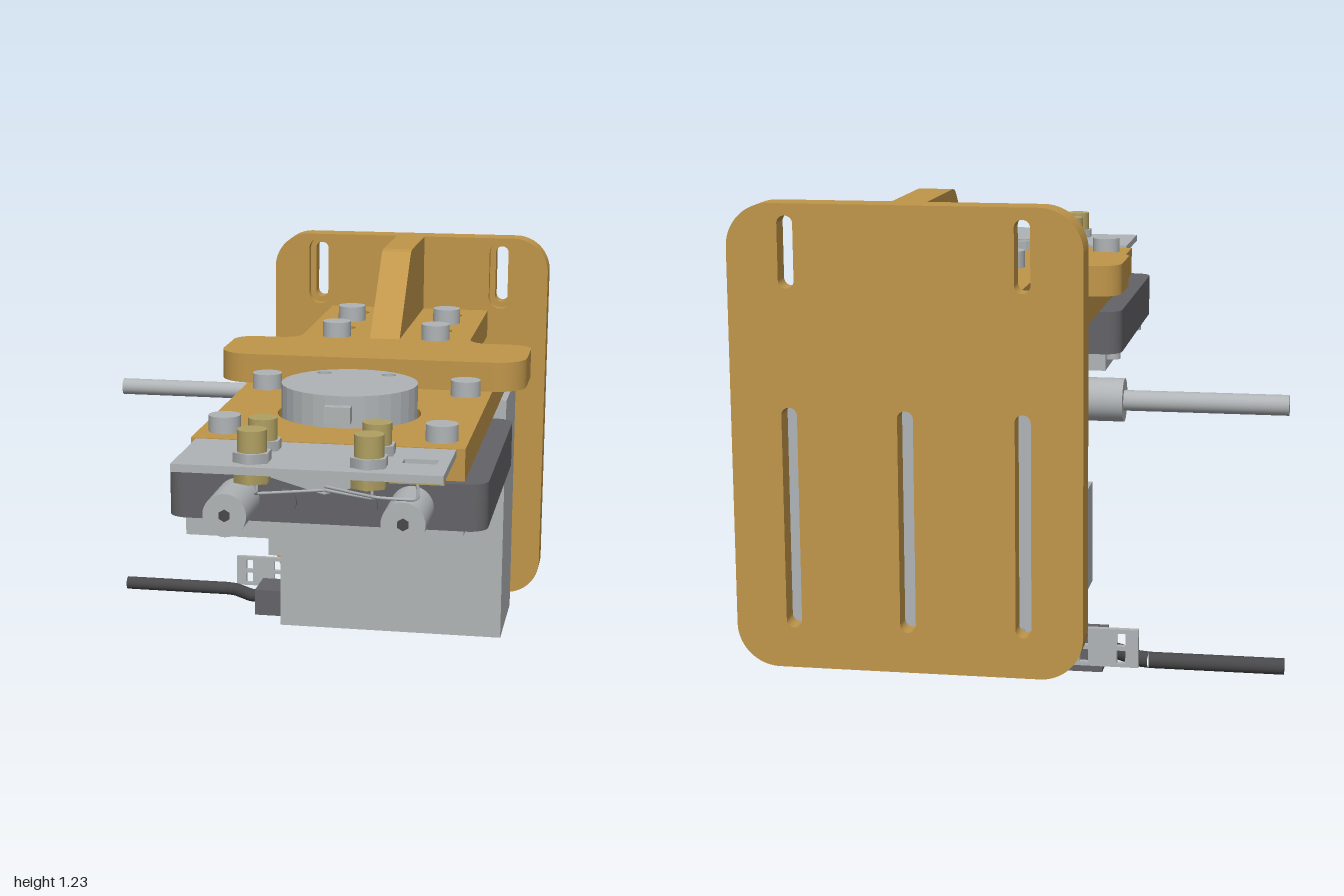
import * as THREE from 'three';

const mat = (name, color) => {
  const m = new THREE.MeshStandardMaterial({ color });
  m.name = name;
  return m;
};

export function createModel() {
  const orange = mat('ochre print', 0xc0964a);
  const grey = mat('light grey metal', 0xb0b4b6);
  const dark = mat('dark grey housing', 0x646468);
  const black = mat('black rubber', 0x48484a);
  const brass = mat('brass', 0xb0a062);
  const green = mat('circuit green', 0x2f7a50);

  const root = new THREE.Group();
  const CX = 0.245;
  const add = (name, geo, m) => {
    const mesh = new THREE.Mesh(geo, m);
    mesh.name = name;
    root.add(mesh);
    return mesh;
  };
  // box from its limits
  const box = (name, m, x0, x1, y0, y1, z0, z1) =>
    add(name, new THREE.BoxGeometry(x1 - x0, y1 - y0, z1 - z0)
      .translate((x0 + x1) / 2, (y0 + y1) / 2, (z0 + z1) / 2), m);
  // cylinder along an axis, starting at the given low end
  const rod = (name, m, axis, r, len, x, y, z, sides = 32) => {
    const g = new THREE.CylinderGeometry(r, r, len, sides).translate(0, len / 2, 0);
    if (axis === 'x') g.rotateZ(-Math.PI / 2);
    if (axis === 'z') g.rotateX(Math.PI / 2);
    return add(name, g.translate(x, y, z), m);
  };
  const tube = (name, m, r, pts) =>
    add(name, new THREE.TubeGeometry(new THREE.CatmullRomCurve3(
      pts.map(p => new THREE.Vector3(...p)), false, 'catmullrom', 0.2), 40, r, 14), m);
  const extrude = (shape, depth) =>
    new THREE.ExtrudeGeometry(shape, { depth, bevelEnabled: false, curveSegments: 16 });
  // flat plate: outline drawn in x and -z, thickness upwards
  const slab = (name, m, shape, y0, y1) =>
    add(name, extrude(shape, y1 - y0).rotateX(-Math.PI / 2).translate(0, y0, 0), m);
  const rounded = (x0, x1, y0, y1, r, s = new THREE.Shape()) => {
    s.moveTo(x0 + r, y0).lineTo(x1 - r, y0);
    s.absarc(x1 - r, y0 + r, r, -Math.PI / 2, 0);
    s.absarc(x1 - r, y1 - r, r, 0, Math.PI / 2);
    s.absarc(x0 + r, y1 - r, r, Math.PI / 2, Math.PI);
    s.absarc(x0 + r, y0 + r, r, Math.PI, Math.PI * 1.5);
    return s;
  };
  const poly = pts => new THREE.Shape(pts.map(p => new THREE.Vector2(...p)));
  const hole = (s, x, y, r) => s.holes.push(new THREE.Path().absarc(x, y, r, 0, Math.PI * 2));
  const slot = (s, x, y0, y1, w) =>
    s.holes.push(rounded(x - w / 2, x + w / 2, y0, y1, w / 2 - 0.0005, new THREE.Path()));

  // mounting plate: front layer has the wider slot recesses
  [[-1, 0.055, 0.04], [-0.945, 0.03, 0.076]].forEach(([z, depth, w], i) => {
    const s = rounded(-0.2, 0.69, 0.05, 1.235, 0.11);
    const grow = (w - 0.04) / 2;
    for (const x of [-0.05, 0.54]) slot(s, x, 1.025 - grow, 1.205 + grow, w);
    for (const x of [-0.05, CX, 0.54]) slot(s, x, 0.155 - grow, 0.725 + grow, w);
    add(i ? 'mountingPlateFront' : 'mountingPlateBack', extrude(s, depth).translate(0, 0, z), orange);
  });

  // gusset between plate and shelf, outline in z and y
  const gusset = poly([[-0.915, 0.92], [-0.33, 0.92], [-0.33, 0.985], [-0.565, 1.215],
    [-0.585, 1.23], [-0.61, 1.235], [-0.915, 1.235]].map(([z, y]) => [-z, y]));
  add('gusset', extrude(gusset, 0.09).rotateY(Math.PI / 2).translate(0.2, 0, 0), orange);

  // T-shaped shelf with rounded head and filleted neck
  const shelf = new THREE.Shape();
  const R = 0.09, F = 0.06;
  shelf.moveTo(-0.2 + R, 0.03).lineTo(0.69 - R, 0.03);
  shelf.absarc(0.69 - R, 0.03 + R, R, -Math.PI / 2, 0);
  shelf.absarc(0.69 - 0.06, 0.26, 0.06, 0, Math.PI / 2);
  shelf.lineTo(0.5 + F, 0.32);
  shelf.absarc(0.5 + F, 0.32 + F, F, -Math.PI / 2, -Math.PI, true);
  shelf.lineTo(0.5, 0.915).lineTo(-0.01, 0.915).lineTo(-0.01, 0.32 + F);
  shelf.absarc(-0.01 - F, 0.32 + F, F, 0, -Math.PI / 2, true);
  shelf.lineTo(-0.14, 0.32);
  shelf.absarc(-0.14, 0.26, 0.06, Math.PI / 2, Math.PI);
  shelf.absarc(-0.2 + R, 0.03 + R, R, Math.PI, Math.PI * 1.5);
  for (const x of [0.095, 0.395]) for (const z of [0.515, 0.8]) hole(shelf, x, z, 0.034);
  slab('shelf', orange, shelf, 0.916, 1.0);

  // carrier plate with a round opening
  const carrier = poly([[-0.11, -0.69], [0.6, -0.69], [0.6, 0.735], [-0.11, 0.735]]);
  hole(carrier, CX, -0.32, 0.195);
  slab('carrierPlate', orange, carrier, 0.832, 0.916);

  // round sensor cap with key and two pin holes
  const cap = new THREE.Shape().absarc(CX, -0.32, 0.185, 0, Math.PI * 2);
  for (const x of [0.155, 0.335]) hole(cap, x, -0.2, 0.02);
  slab('sensorCap', grey, cap, 0.83, 1.0).geometry.computeBoundingBox();
  box('sensorKey', grey, 0.21, 0.28, 0.93, 0.975, 0.49, 0.53);

  // screws on the carrier and the shelf
  for (const x of [-0.04, 0.53]) for (const z of [0.03, 0.6])
    rod('carrierScrew', grey, 'y', 0.042, 0.045, x, 0.915, z);
  for (const x of [0.095, 0.395]) for (const z of [-0.37, -0.66]) {
    rod('shelfScrew', grey, 'y', 0.042, 0.046, x, 1.0, z);
    rod('shelfNut', grey, 'y', 0.048, 0.037, x, 0.796, z, 6);
  }

  // sensor housing and its lid
  slab('sensorHousing', dark, rounded(-0.17, 0.66, -0.715, 0.065, 0.05), 0.708, 0.831);
  box('housingRim', grey, -0.125, 0.6, 0.69, 0.708, -0.045, 0.69);
  const lid = poly([[-0.125, 0.656], [0.37, 0.656], [0.54, 0.691], [-0.125, 0.691]]);
  add('housingLid', extrude(lid, 0.735).translate(0, 0, -0.045), grey);
  for (const x of [-0.14, 0.6]) for (const z of [0, 0.5])
    rod('housingScrew', grey, 'y', 0.023, 0.025, x, 0.685, z, 20);

  // front connectors
  for (const x of [0.02, 0.47]) {
    rod('frontConnector', grey, 'z', 0.056, 0.17, x, 0.765, 0.715);
    rod('connectorSocket', black, 'z', 0.016, 0.004, x, 0.765, 0.884, 6);
  }
  for (const x of [0.14, 0.35]) rod('frontPlug', dark, 'z', 0.033, 0.012, x, 0.765, 0.712);

  // rear connector and link cable
  rod('rearConnectorNeck', grey, 'z', 0.03, 0.05, CX, 0.77, -0.11);
  rod('rearConnector', grey, 'z', 0.055, 0.13, CX, 0.77, -0.235);
  tube('linkCable', grey, 0.026, [[CX, 0.77, -0.22], [CX, 0.768, -0.265], [CX, 0.732, -0.33], [CX, 0.728, -0.4]]);
  rod('boxConnector', grey, 'z', 0.057, 0.13, CX, 0.728, -0.5);
  rod('boxConnectorNeck', grey, 'z', 0.035, 0.04, CX, 0.72, -0.535);

  // front circuit board with fold-down tab
  const board = poly([[-0.09, -0.995], [0.58, -0.995], [0.58, -0.715], [-0.09, -0.715]]);
  board.holes.push(rounded(0.465, 0.55, -0.88, -0.835, 0.004, new THREE.Path()));
  slab('frontBoard', grey, board, 0.9, 0.92);
  const tab = poly([[0.1, 0.83], [CX, 0.79], [0.39, 0.83], [0.39, 0.9], [0.1, 0.9]]);
  add('boardTab', extrude(tab, 0.01).translate(0, 0, 0.716), grey);
  box('boardSocket', brass, 0.44, 0.575, 0.88, 0.9, 0.89, 0.93);
  for (const x of [0.1, 0.39]) {
    for (const z of [0.79, 0.925]) {
      rod('terminalNut', grey, 'y', 0.05, 0.025, x, 0.92, z, 6);
      rod('terminalPost', brass, 'y', 0.037, 0.055, x, 0.945, z);
      rod('terminalBase', brass, 'y', 0.048, 0.032, x, 0.868, z, 6);
    }
    tube('terminalWire', grey, 0.004, [[x, 0.88, 0.87], [x, 0.83, 0.87], [x, 0.82, 0.86], [CX, 0.8, 0.72]]);
  }
  tube('socketWire', grey, 0.004, [[0.505, 0.885, 0.9], [0.505, 0.835, 0.9], [0.4, 0.83, 0.88], [CX, 0.81, 0.72]]);

  // electronics box with board on its underside
  box('electronicsBox', grey, -0.11, 0.6, 0.026, 0.785, -0.88, -0.53);
  const rim = rounded(-0.11, 0.6, 0.53, 0.88, 0.001);
  rim.holes.push(rounded(-0.095, 0.585, 0.545, 0.865, 0.001, new THREE.Path()));
  slab('boxRim', grey, rim, 0.016, 0.026);
  box('bottomBoard', green, -0.095, 0.585, 0.02, 0.026, -0.865, -0.545);
  box('bottomChip', dark, 0.15, 0.23, 0.013, 0.02, -0.74, -0.66);
  for (const x of [-0.04, 0.53]) for (const z of [-0.82, -0.59])
    rod('bottomScrew', grey, 'y', 0.022, 0.006, x, 0.014, z, 20);
  for (const x of [0.0, 0.49]) rod('boxFoot', grey, 'z', 0.035, 0.025, x, 0.125, -0.902);
  box('sideBlock', grey, -0.175, -0.11, 0.21, 0.48, -0.86, -0.66);

  // upper side cable
  rod('upperCableGland', grey, 'x', 0.055, 0.165, -0.275, 0.728, -0.79);
  rod('upperCable', grey, 'x', 0.026, 0.43, -0.69, 0.728, -0.795);

  // lower side connector, cable and perforated bracket
  box('lowerConnector', dark, -0.22, -0.09, 0.004, 0.09, -0.79, -0.655);
  tube('lowerCable', black, 0.021, [[-0.345, 0.046, -0.795], [-0.31, 0.046, -0.785], [-0.25, 0.046, -0.735], [-0.2, 0.046, -0.725]]);
  rod('lowerCableEnd', black, 'x', 0.021, 0.347, -0.69, 0.046, -0.795);
  const bracket = poly([[-0.322, 0.045], [-0.1, 0.045], [-0.1, 0.145], [-0.322, 0.145]]);
  for (const x of [-0.278, -0.182]) for (const y of [0.055, 0.1])
    bracket.holes.push(rounded(x - 0.011, x + 0.011, y, y + 0.034, 0.002, new THREE.Path()));
  add('cableBracket', extrude(bracket, 0.016).translate(0, 0, -0.862), grey);

  return root;
}
